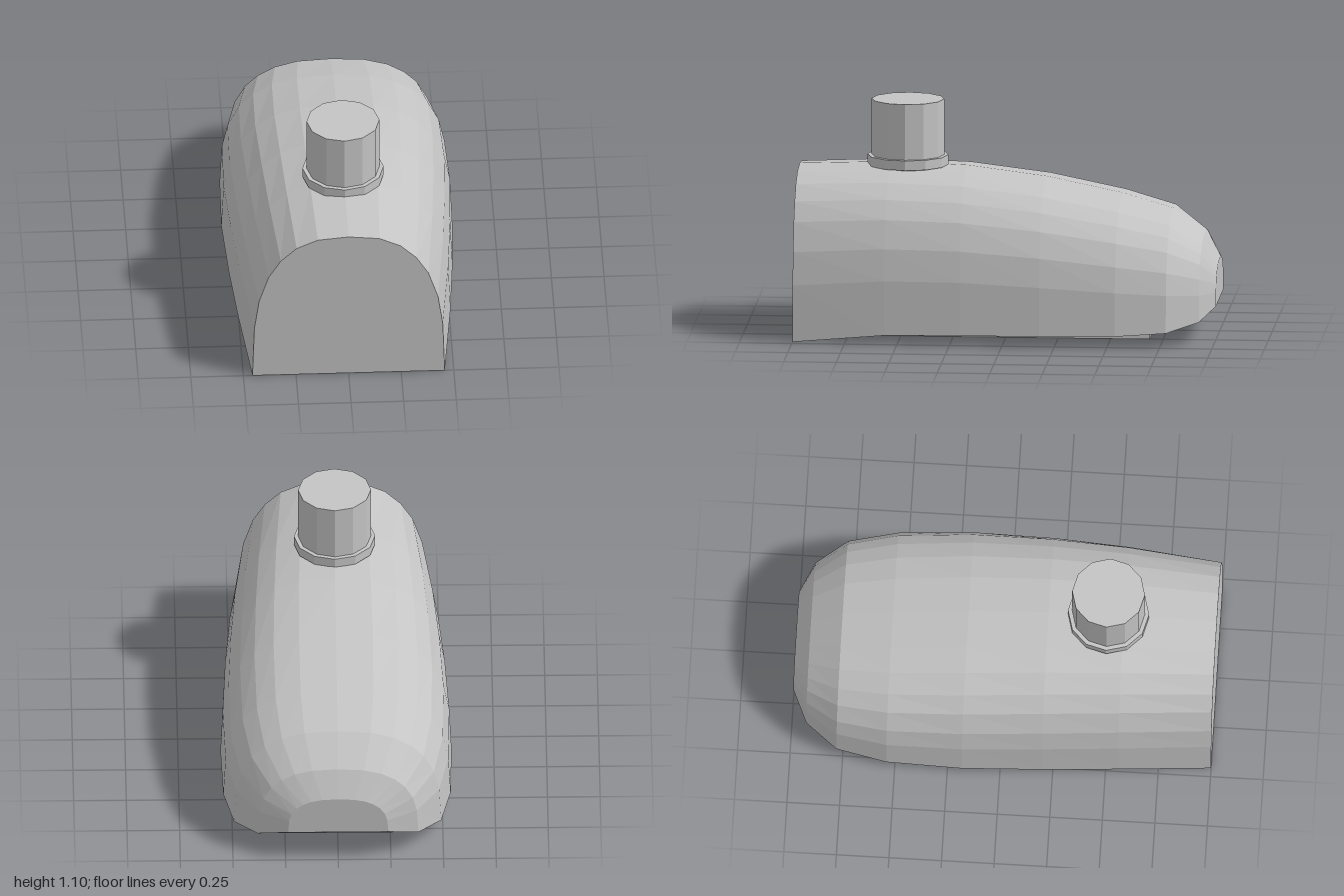
import * as THREE from 'three';

const grey = new THREE.MeshStandardMaterial({ color: 0xc4c4c4 });
grey.name = 'plain grey';

// Half of the arched cross-section, as fractions of half-width and height
const ARCH = [[1, 0], [0.98, 0.345], [0.93, 0.545], [0.83, 0.72], [0.705, 0.835], [0.54, 0.925], [0.32, 0.982], [0, 1]];

// Stations along the body: z, half-width, bottom, top
const STATIONS = [
  [1, 0.457, 0, 0.783],
  [0.56, 0.505, 0.045, 0.797],
  [0.2, 0.532, 0.055, 0.784],
  [-0.18, 0.549, 0.055, 0.735],
  [-0.54, 0.54, 0.06, 0.66],
  [-0.78, 0.492, 0.07, 0.59],
  [-0.93, 0.382, 0.107, 0.475],
  [-1, 0.238, 0.16, 0.35],
];

function facet(geometry) {
  const g = geometry.index ? geometry.toNonIndexed() : geometry;
  g.computeVertexNormals();
  return g;
}

// Loft the closed arch through every station, with flat end caps
function bodyGeometry() {
  const loop = [...ARCH, ...ARCH.slice(0, -1).reverse().map(([x, y]) => [-x, y])];
  const n = loop.length;
  const positions = [];
  const index = [];
  for (const [z, w, lo, hi] of STATIONS) {
    for (const [x, y] of loop) positions.push(x * w, lo + y * (hi - lo), z);
  }
  for (let i = 0; i < STATIONS.length - 1; i++) {
    for (let j = 0; j < n; j++) {
      const k = (j + 1) % n;
      const a = i * n + j, b = i * n + k, c = a + n, d = b + n;
      index.push(a, c, b, c, d, b);
    }
  }
  const last = (STATIONS.length - 1) * n;
  for (let j = 1; j < n - 1; j++) {
    index.push(0, j, j + 1);
    index.push(last, last + j + 1, last + j);
  }
  const g = new THREE.BufferGeometry();
  g.setAttribute('position', new THREE.Float32BufferAttribute(positions, 3));
  g.setIndex(index);
  return facet(g);
}

export function createModel() {
  const group = new THREE.Group();
  const add = (name, geometry, x = 0, y = 0, z = 0) => {
    const mesh = new THREE.Mesh(geometry, grey);
    mesh.name = name;
    mesh.position.set(x, y, z);
    group.add(mesh);
  };
  // Upright twelve-sided post between two heights
  const post = (name, r, y0, y1) =>
    add(name, facet(new THREE.CylinderGeometry(r, r, y1 - y0, 12)), -0.002, (y0 + y1) / 2, 0.485);

  add('body', bodyGeometry());
  post('neckCollar', 0.193, 0.785, 0.832);
  post('neck', 0.173, 0.78, 1.1);

  // Underside cover and its latch
  add('bottomCover', new THREE.BoxGeometry(0.85, 0.035, 1.1), 0, 0.0475, -0.15);
  add('coverLatch', new THREE.BoxGeometry(0.21, 0.05, 0.14), 0, 0.05, -0.74);

  return group;
}
